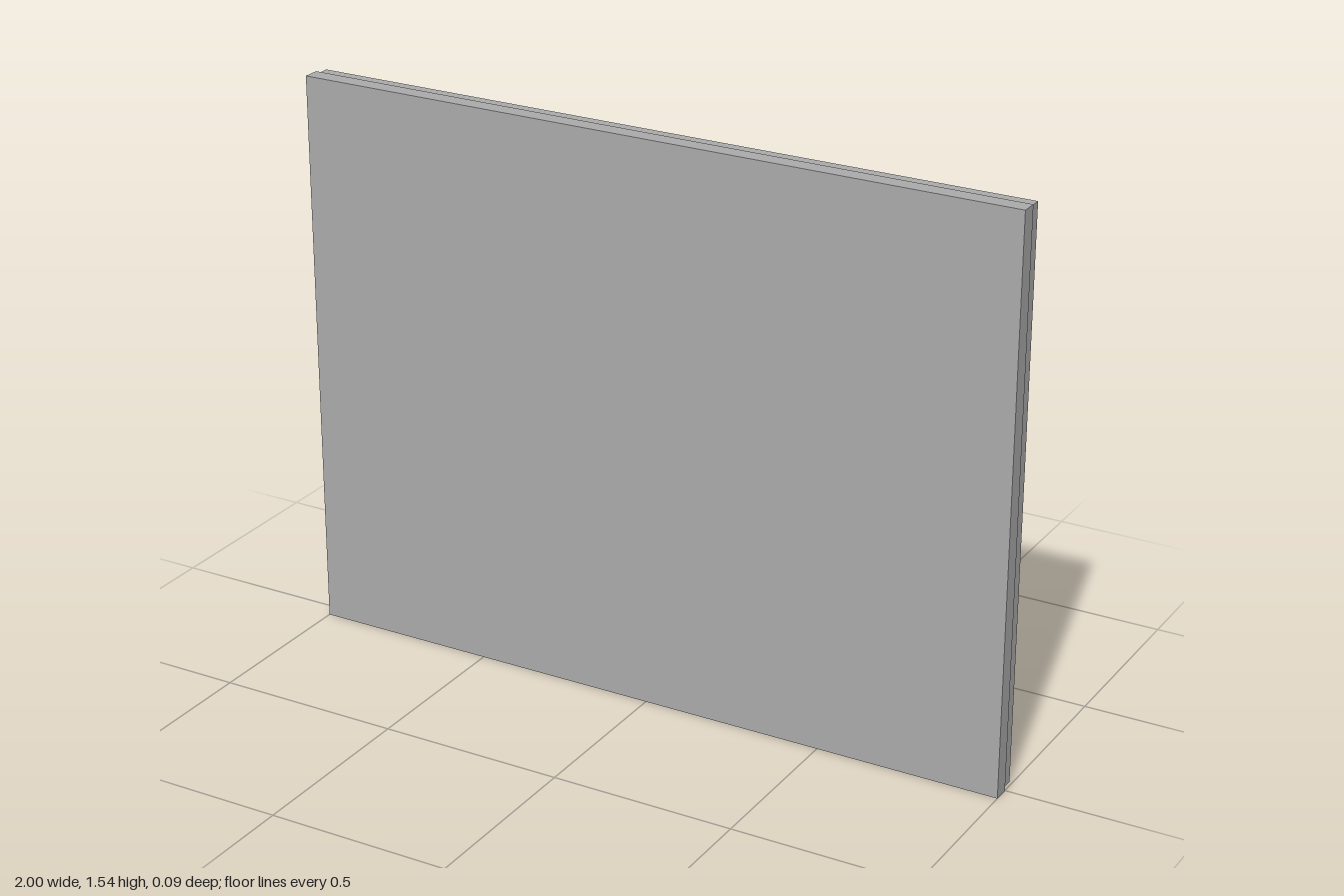
import * as THREE from 'three';

const W = 1, H = 0.77; // half width, half height

// Rectangular loops of [inset from the outer edge, z], joined in order by flat mitred bands.
function rectBands(profile) {
  const loops = profile.map(([d, z]) => {
    const x = W - d, y = H - d;
    return [[-x, H - y, z], [x, H - y, z], [x, H + y, z], [-x, H + y, z]];
  });
  const pos = [];
  for (let i = 0; i < loops.length - 1; i++) {
    for (let k = 0; k < 4; k++) {
      const n = (k + 1) % 4;
      const a = loops[i][k], b = loops[i][n], c = loops[i + 1][n], d = loops[i + 1][k];
      pos.push(...a, ...c, ...b, ...a, ...d, ...c);
    }
  }
  const g = new THREE.BufferGeometry();
  g.setAttribute('position', new THREE.Float32BufferAttribute(pos, 3));
  g.computeVertexNormals();
  return g;
}

export function createModel() {
  const group = new THREE.Group();
  const grey = new THREE.MeshStandardMaterial({ color: 0xaaaaaa });
  grey.name = 'panelGrey';
  const add = (name, geo) => {
    const m = new THREE.Mesh(geo, grey);
    m.name = name;
    group.add(m);
    return m;
  };

  // Front sheet
  add('frontPanel', new THREE.PlaneGeometry(2 * W, 2 * H)).position.set(0, H, 0.045);

  // Outer wall, stepped in halfway back, with a bevelled rear edge
  add('outerRim', rectBands([[0, 0.045], [0, 0], [0.005, 0], [0.005, -0.038], [0.01, -0.045]]));

  // Rear border and the stepped wall of the recess
  add('backFrame', rectBands([[0.01, -0.045], [0.037, -0.045], [0.037, -0.018], [0.042, -0.018], [0.042, 0.005]]));

  // Recessed back sheet
  const back = add('backPanel', new THREE.PlaneGeometry(2 * (W - 0.042), 2 * (H - 0.042)));
  back.position.set(0, H, 0.005);
  back.rotation.y = Math.PI;

  return group;
}
